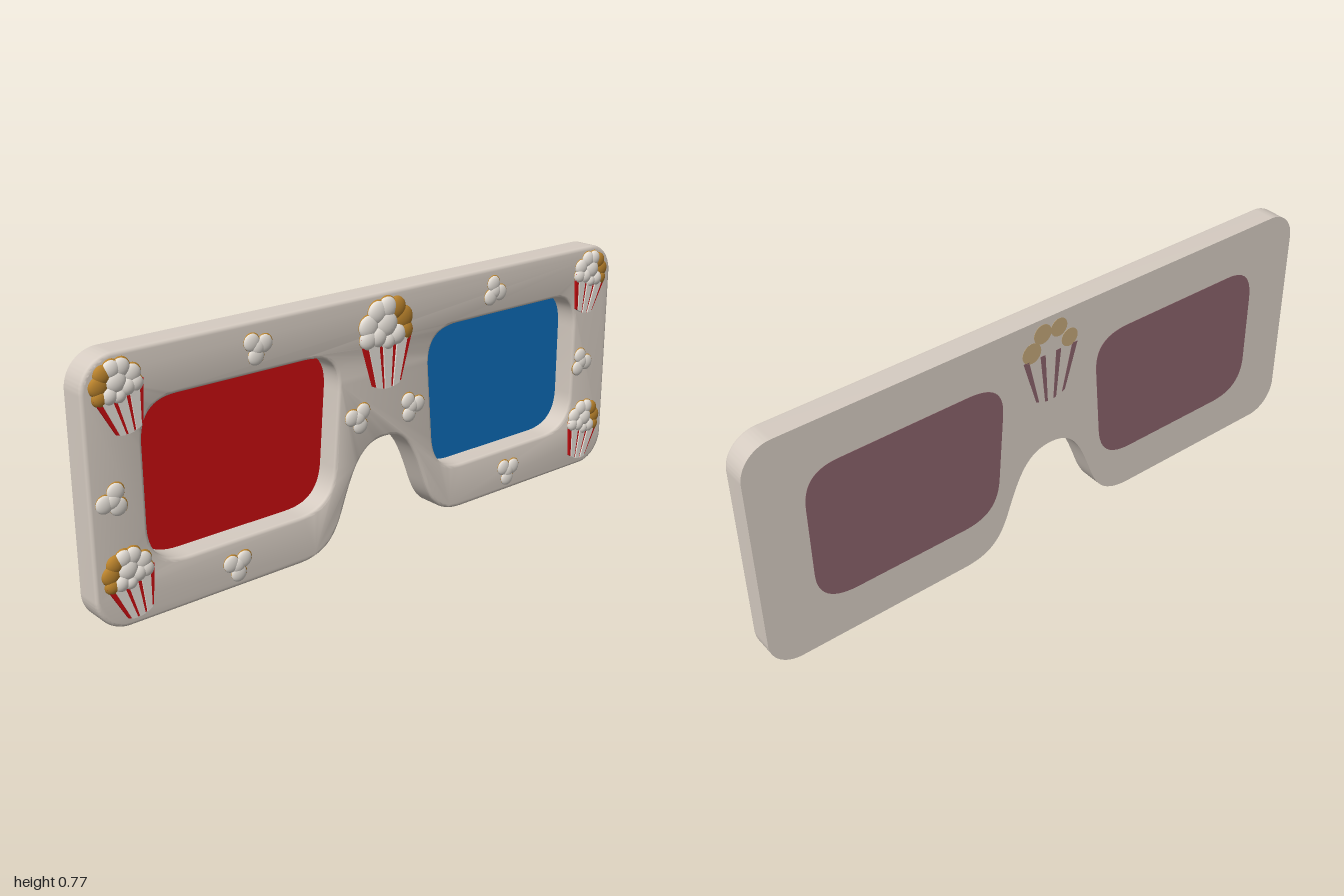
import * as THREE from 'three';
import { toCreasedNormals } from 'three/addons/utils/BufferGeometryUtils.js';

const mat = (name, color, extra) => new THREE.MeshStandardMaterial({ name, color, ...extra });
const BACK = -0.053, FRONT = 0.03, BEVEL = 0.011;

export function createModel() {
  const card = mat('card', 0xd6ccc2);
  const red = mat('red', 0xc80c10);
  const blue = mat('blue', 0x0c6cb8);
  const mauve = mat('mauve', 0x8a626a);
  const white = mat('white', 0xe6e0d8);
  const gold = mat('gold', 0xb9822c);
  const tan = mat('tan', 0xc2a678);

  const model = new THREE.Group();
  model.name = 'paperGlasses';

  const add = (parent, name, geometry, material, x = 0, y = 0, z = 0) => {
    const mesh = new THREE.Mesh(geometry, material);
    mesh.name = name;
    mesh.position.set(x, y, z);
    parent.add(mesh);
    return mesh;
  };
  const plate = (shape, depth, bevel = 0) => toCreasedNormals(new THREE.ExtrudeGeometry(shape, {
    depth, curveSegments: 14, bevelEnabled: bevel > 0, bevelSize: bevel,
    bevelThickness: bevel, bevelOffset: -bevel, bevelSegments: 3,
  }), 0.6);

  // Lens opening; side is -1 or 1
  const lensPath = (side, Type) => {
    const p = new Type();
    const X = (x) => x * side;
    p.moveTo(X(0.30), 0.62);
    p.lineTo(X(0.72), 0.62);
    p.bezierCurveTo(X(0.80), 0.62, X(0.832), 0.58, X(0.832), 0.5);
    p.lineTo(X(0.832), 0.27);
    p.bezierCurveTo(X(0.832), 0.19, X(0.79), 0.148, X(0.70), 0.148);
    p.lineTo(X(0.33), 0.148);
    p.bezierCurveTo(X(0.24), 0.148, X(0.202), 0.19, X(0.195), 0.27);
    p.lineTo(X(0.177), 0.5);
    p.bezierCurveTo(X(0.17), 0.585, X(0.21), 0.62, X(0.30), 0.62);
    return p;
  };

  // Card outline with rounded corners and a nose notch
  const outline = new THREE.Shape();
  outline.moveTo(-0.9, 0);
  outline.lineTo(-0.33, 0);
  outline.bezierCurveTo(-0.22, 0, -0.19, 0.06, -0.165, 0.125);
  outline.bezierCurveTo(-0.12, 0.25, -0.09, 0.32, 0, 0.32);
  outline.bezierCurveTo(0.09, 0.32, 0.12, 0.25, 0.165, 0.125);
  outline.bezierCurveTo(0.19, 0.06, 0.22, 0, 0.33, 0);
  outline.lineTo(0.9, 0);
  outline.absarc(0.9, 0.1, 0.1, -Math.PI / 2, 0);
  outline.lineTo(1, 0.67);
  outline.absarc(0.9, 0.67, 0.1, 0, Math.PI / 2);
  outline.lineTo(-0.9, 0.77);
  outline.absarc(-0.9, 0.67, 0.1, Math.PI / 2, Math.PI);
  outline.lineTo(-1, 0.1);
  outline.absarc(-0.9, 0.1, 0.1, Math.PI, Math.PI * 1.5);
  for (const s of [-1, 1]) outline.holes.push(lensPath(s, THREE.Path));

  // Sharp-edged body with a rounded front edge
  add(model, 'frameBody', plate(outline, FRONT - BEVEL - BACK), card, 0, 0, BACK);
  add(model, 'frameFrontEdge', plate(outline, 0.001, BEVEL), card, 0, 0, FRONT - BEVEL - 0.001);

  // Lenses near the back of the card, with dull backs
  for (const s of [-1, 1]) {
    const shape = lensPath(s, THREE.Shape);
    add(model, s < 0 ? 'rightLens' : 'leftLens', plate(shape, 0.01), s < 0 ? red : blue, 0, 0, BACK + 0.002);
    add(model, 'lensBack', plate(shape, 0.002), mauve, 0, 0, BACK - 0.001);
  }

  // One puffed lobe: gold underside, usually with a white crown
  const ball = new THREE.SphereGeometry(1, 20, 14);
  const lobe = (parent, x, y, r, lift, crowned) => {
    add(parent, 'kernelGold', ball, gold, x, y, 0).scale.set(r, r, lift);
    if (crowned) {
      add(parent, 'kernelWhite', ball, white, x - r * 0.05, y - r * 0.02, lift * 0.22)
        .scale.set(r * 0.96, r * 0.96, lift * 0.9);
    }
  };

  // Tapered stripe number i out of seven
  const stripeShape = (i) => {
    const edge = [-1, -0.8, -0.38, -0.2, 0.2, 0.38, 0.8, 1];
    const [a, b] = [edge[i], edge[i + 1]];
    const low = (t) => -0.137 + 0.014 * t * t;
    return new THREE.Shape([[a * 0.054, low(a)], [b * 0.054, low(b)], [b * 0.1, 0.03], [a * 0.1, 0.03]]
      .map(([x, y]) => new THREE.Vector2(x, y)));
  };

  // Bucket of popcorn; lobes are [x, y, radius, lift, crowned]
  const heap = [
    [-0.066, 0.062, 0.037, 0.016, 1], [0.066, 0.066, 0.038, 0.016, 0],
    [-0.032, 0.1, 0.037, 0.017, 1], [0.04, 0.1, 0.036, 0.017, 0], [0.004, 0.108, 0.036, 0.018, 1],
    [-0.068, 0.024, 0.033, 0.018, 1], [0.072, 0.026, 0.032, 0.018, 0],
    [0, 0.06, 0.043, 0.021, 1], [-0.034, 0.026, 0.034, 0.021, 1],
    [0.04, 0.022, 0.034, 0.021, 1], [0.004, 0.008, 0.029, 0.02, 1],
  ];
  const bucket = (x, y, scale, tilt, flip) => {
    const g = new THREE.Group();
    g.name = 'popcornBucket';
    for (let i = 0; i < 7; i++) {
      add(g, 'bucketStripe', plate(stripeShape(i), i % 2 ? 0.014 : 0.009), i % 2 ? white : red);
    }
    for (const [lx, ly, r, lift, crowned] of heap) lobe(g, lx * flip, ly, r, lift, crowned);
    g.position.set(x, y, FRONT);
    g.rotation.z = tilt;
    g.scale.set(scale, scale, Math.min(1, scale * 1.15));
    model.add(g);
  };
  bucket(0, 0.615, 1, 0, 1);
  for (const s of [-1, 1]) {
    bucket(s * 0.89, 0.65, 0.75, -s * 0.22, s);
    bucket(s * 0.892, 0.128, 0.75, -s * 0.22, s);
  }

  // Loose kernels of three lobes and a centre
  const loose = [[-0.46, 0.695, 0.3], [0.45, 0.695, -0.3], [-0.105, 0.405, 0.8], [0.105, 0.395, 2.2],
    [-0.93, 0.375, 1.2], [0.877, 0.375, 1.9], [-0.55, 0.07, 0.6], [0.535, 0.07, 2.5]];
  for (const [x, y, turn] of loose) {
    const g = new THREE.Group();
    g.name = 'looseKernel';
    for (let i = 0; i < 3; i++) {
      const a = turn + i * Math.PI * 2 / 3;
      lobe(g, Math.cos(a) * 0.025, Math.sin(a) * 0.025, 0.027, 0.011, true);
    }
    lobe(g, 0, 0, 0.024, 0.012, true);
    g.position.set(x, y, FRONT);
    model.add(g);
  }

  // Faint bucket print on the back
  const print = new THREE.Group();
  print.name = 'backPrint';
  for (let i = 0; i < 7; i += 2) add(print, 'printStripe', plate(stripeShape(i), 0.002), mauve);
  for (const [x, y, r] of [[0.07, 0.055, 0.034], [-0.07, 0.055, 0.03], [0.03, 0.105, 0.032], [-0.03, 0.105, 0.03]]) {
    add(print, 'printKernel', new THREE.CylinderGeometry(r, r, 0.002, 20).rotateX(Math.PI / 2), tan, x, y, 0.001);
  }
  print.position.set(0, 0.615, BACK - 0.001);
  model.add(print);

  return model;
}
